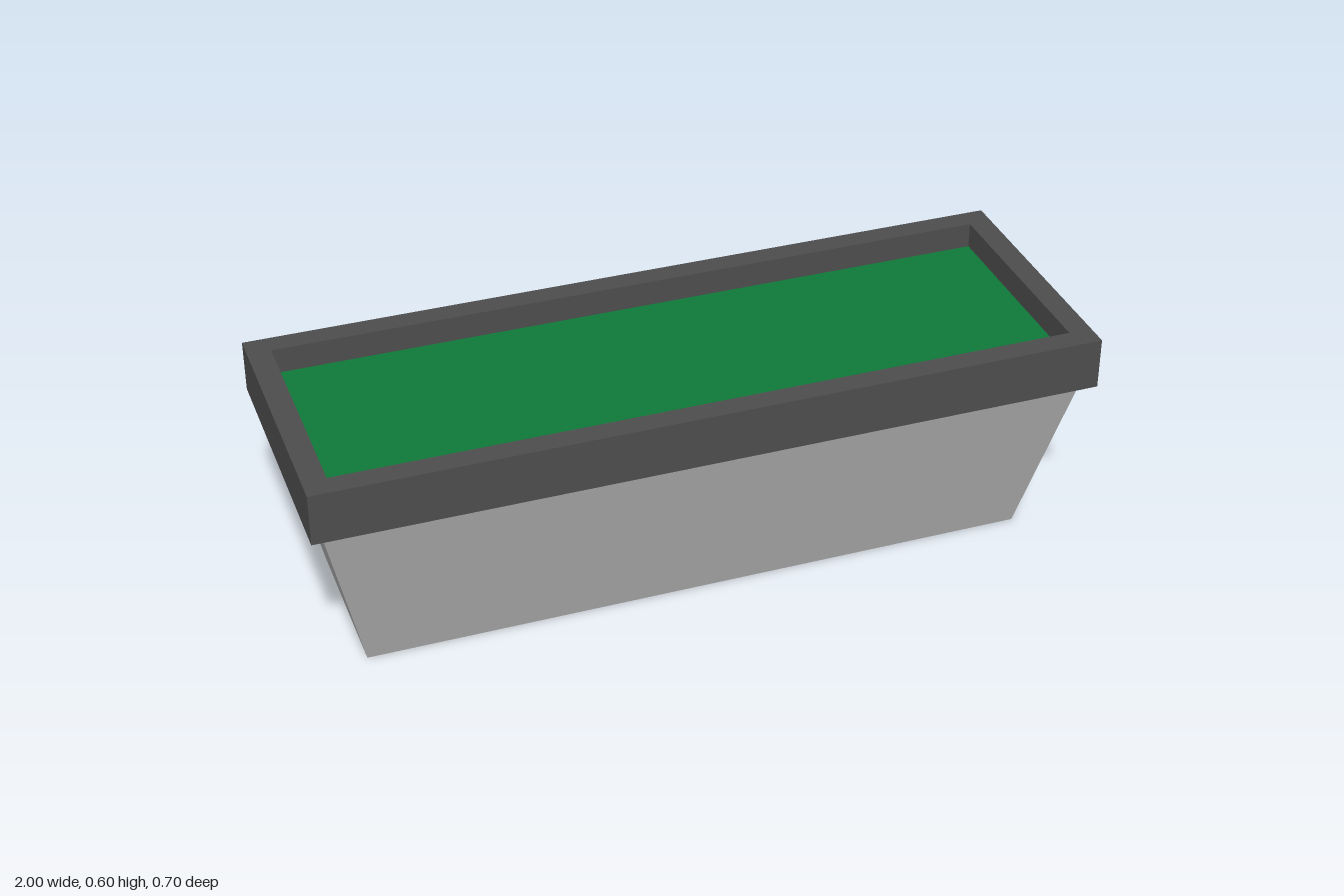
import * as THREE from 'three';

const RIM = { x: 1, z: 0.35, bottom: 0.465, top: 0.6 };
const OPENING = { x: 0.94, z: 0.291 };
const FOOT = { x: 0.865, z: 0.215 };
const SHOULDER = { x: 0.97, z: 0.318 };

// Clockwise or anticlockwise rectangle centred on the origin
function rectangle(x, y, PathType) {
  return new PathType([[-x, -y], [x, -y], [x, y], [-x, y]].map(([a, b]) => new THREE.Vector2(a, b)));
}

export function createModel() {
  const stone = new THREE.MeshStandardMaterial({ color: 0xaeaeae, side: THREE.DoubleSide });
  stone.name = 'light grey stone';
  const dark = new THREE.MeshStandardMaterial({ color: 0x4d4d4d });
  dark.name = 'dark grey rim';
  const green = new THREE.MeshStandardMaterial({ color: 0x0f7838, side: THREE.DoubleSide });
  green.name = 'planting green';

  const group = new THREE.Group();
  group.name = 'planter';
  const add = (name, geometry, material) => {
    const mesh = new THREE.Mesh(geometry, material);
    mesh.name = name;
    group.add(mesh);
    return mesh;
  };

  // Tapered trough walls, open underneath: a box without lids, narrowed at the foot
  const box = new THREE.BoxGeometry(2, RIM.bottom, 2);
  box.setIndex(Array.from(box.index.array).filter((v) => v < 8 || v >= 16));
  box.clearGroups();
  const p = box.attributes.position;
  for (let i = 0; i < p.count; i++) {
    const size = p.getY(i) > 0 ? SHOULDER : FOOT;
    p.setX(i, p.getX(i) * size.x);
    p.setZ(i, p.getZ(i) * size.z);
  }
  box.translate(0, RIM.bottom / 2, 0);
  const trough = box.toNonIndexed();
  trough.computeVertexNormals();
  add('troughWalls', trough, stone);

  // Square-edged rim around the opening
  const frame = rectangle(RIM.x, RIM.z, THREE.Shape);
  frame.holes.push(rectangle(OPENING.x, OPENING.z, THREE.Path));
  const rim = new THREE.ExtrudeGeometry(frame, { depth: RIM.top - RIM.bottom, bevelEnabled: false });
  rim.rotateX(-Math.PI / 2);
  rim.translate(0, RIM.bottom, 0);
  add('rim', rim, dark);

  // Flat planting surface sunk halfway down the rim
  const bed = new THREE.PlaneGeometry(OPENING.x * 2, OPENING.z * 2);
  bed.rotateX(-Math.PI / 2);
  add('plantingBed', bed, green).position.y = 0.533;

  return group;
}
